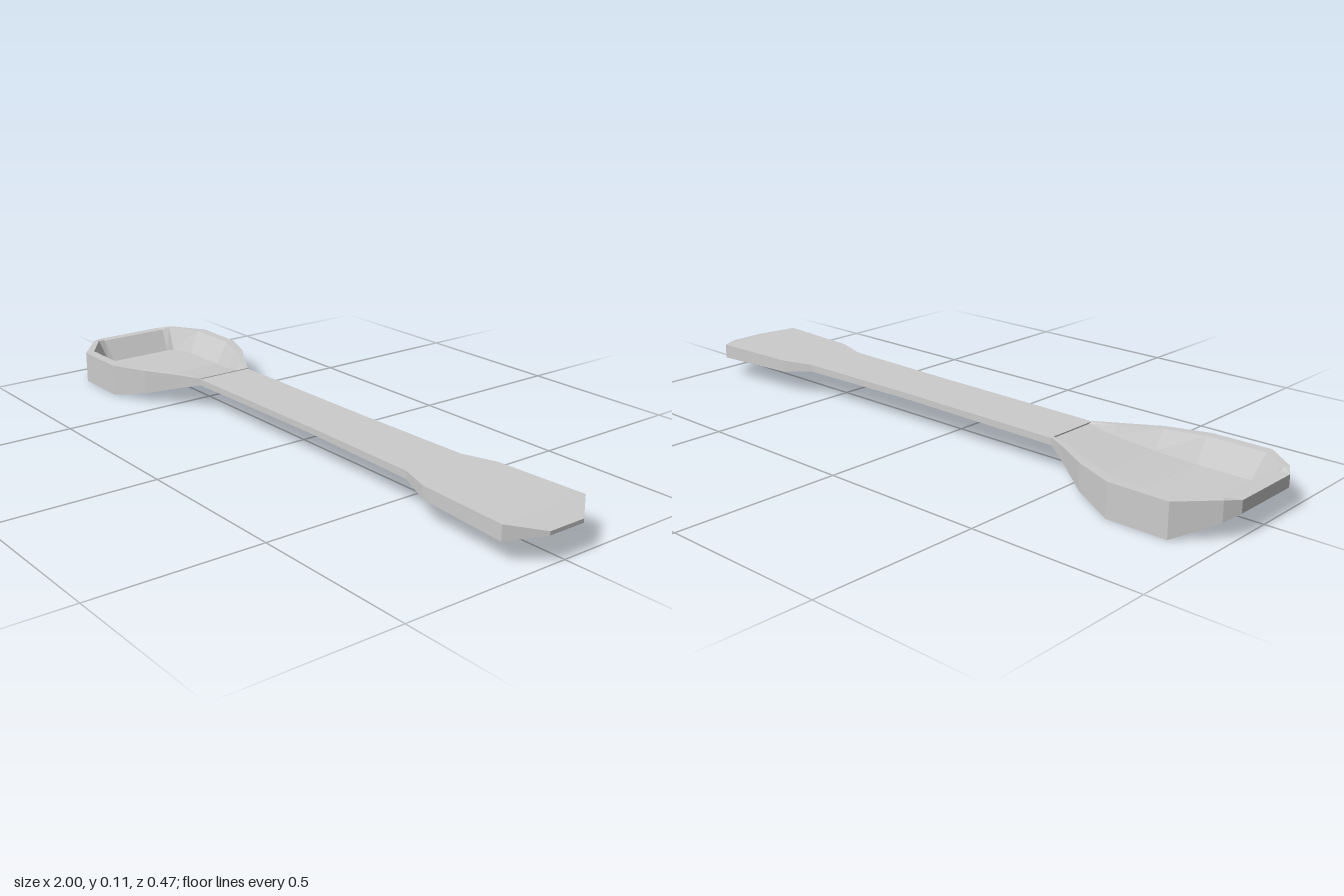
import * as THREE from 'three';

// Loft along x. Each section is a half profile of [x, y, z] points, bottom to top, mirrored across z.
function loft(name, sections, material) {
  const pos = [];
  const quad = (a, b, c, d) => pos.push(...a, ...b, ...c, ...a, ...c, ...d);
  const mirror = ([x, y, z]) => [x, y, -z];
  const rings = sections.map((s) => [...s, ...s.map(mirror).reverse()]);
  const n = rings[0].length;
  for (let i = 0; i < rings.length - 1; i++) {
    for (let k = 0; k < n; k++) {
      const l = (k + 1) % n;
      quad(rings[i][k], rings[i + 1][k], rings[i + 1][l], rings[i][l]);
    }
  }
  // End caps
  const first = sections[0], last = sections[sections.length - 1];
  for (let j = 0; j < first.length - 1; j++) {
    quad(mirror(first[j]), first[j], first[j + 1], mirror(first[j + 1]));
    quad(last[j], mirror(last[j]), mirror(last[j + 1]), last[j + 1]);
  }
  const geometry = new THREE.BufferGeometry();
  geometry.setAttribute('position', new THREE.Float32BufferAttribute(pos, 3));
  geometry.computeVertexNormals();
  const mesh = new THREE.Mesh(geometry, material);
  mesh.name = name;
  return mesh;
}

export function createModel() {
  const group = new THREE.Group();
  group.name = 'spoon';
  const material = new THREE.MeshStandardMaterial({ color: 0xcccccc, flatShading: true });

  // Bowl: outer x, half width, bottom y, rim y | inner rim x, half width | floor x, half width, y
  const bowl = [
    [-1.0, 0.11, 0.065, 0.1, -0.97, 0.115, -0.925, 0.105, 0.036],
    [-0.975, 0.152, 0.047, 0.105, -0.965, 0.14, -0.92, 0.128, 0.035],
    [-0.88, 0.235, 0.002, 0.1, -0.88, 0.205, -0.865, 0.165, 0.03],
    [-0.7, 0.235, 0.002, 0.1, -0.7, 0.205, -0.7, 0.165, 0.03],
    [-0.58, 0.188, 0.028, 0.103, -0.59, 0.165, -0.59, 0.13, 0.05],
    [-0.48, 0.128, 0.06, 0.103, -0.48, 0.105, -0.48, 0.09, 0.078],
    [-0.41, 0.09, 0.08, 0.102, -0.41, 0.08, -0.41, 0.072, 0.098],
  ].map(([x, w, yb, yt, xr, wr, xf, wf, yf]) => [
    [x, yb, w], [x, yt, w], [xr, yt, wr], [xf, yf, wf],
  ]);
  group.add(loft('bowl', bowl, material));

  // Handle with flared end: x, half width, bottom y, top y
  const handle = [
    [-0.41, 0.09, 0.08, 0.1],
    [0.15, 0.09, 0.085, 0.103],
    [0.55, 0.097, 0.083, 0.105],
    [0.65, 0.13, 0.069, 0.106],
    [0.93, 0.144, 0.063, 0.107],
    [1.0, 0.058, 0.08, 0.091],
  ].map(([x, w, yb, yt]) => [[x, yb, w], [x, yt, w]]);
  group.add(loft('handle', handle, material));

  return group;
}
